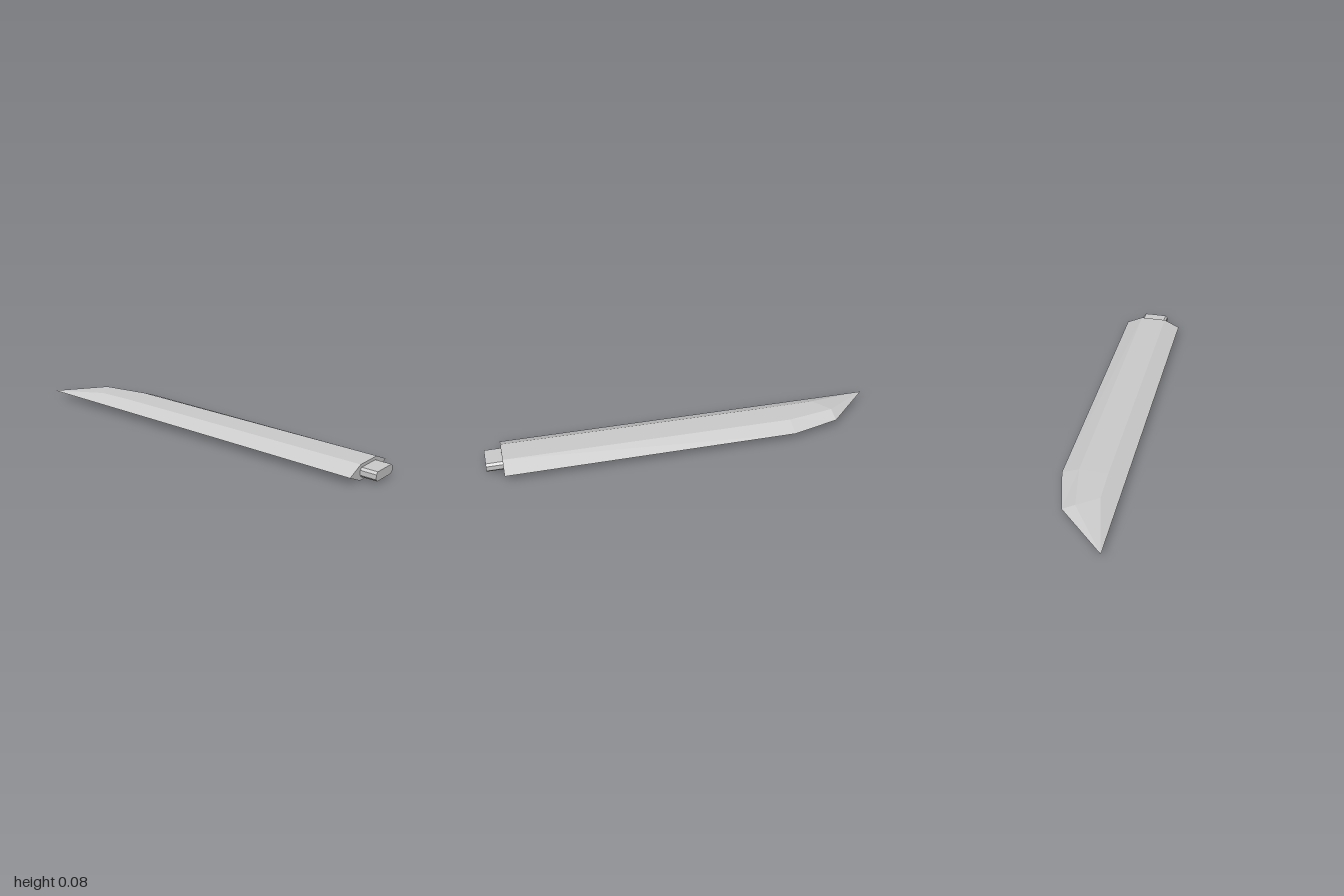
import * as THREE from 'three';

const MID = 0.038; // height of the cutting edges

// Hexagonal cross-section, counter-clockwise seen from the front.
// Each column is [x, z]: right edge, right ridge, left ridge, left edge.
function section([edgeR, ridgeR, ridgeL, edgeL], h) {
  const at = ([x, z], y) => [x, MID + y, z];
  return [at(edgeR, 0), at(ridgeR, h), at(ridgeL, h), at(edgeL, 0), at(ridgeL, -h), at(ridgeR, -h)];
}

function bladeGeometry() {
  const rings = [
    section([[0.15, 0.92], [0.067, 0.92], [-0.067, 0.92], [-0.15, 0.92]], 0.038),
    section([[0.15, -0.52], [0.067, -0.52], [-0.07, -0.52], [-0.15, -0.52]], 0.033),
    section([[0.083, -0.765], [0.022, -0.76], [-0.075, -0.69], [-0.15, -0.7]], 0.031),
  ];
  const tip = [-0.15, MID, -1];
  const pos = [];
  const tri = (...pts) => pts.forEach((p) => pos.push(...p));

  // base cap
  for (let i = 1; i < 5; i++) tri(rings[0][0], rings[0][i], rings[0][i + 1]);
  // long faces
  for (let r = 0; r < rings.length - 1; r++) {
    for (let i = 0; i < 6; i++) {
      const j = (i + 1) % 6;
      const a = rings[r][i], b = rings[r][j], c = rings[r + 1][j], d = rings[r + 1][i];
      tri(a, d, b);
      tri(b, d, c);
    }
  }
  // facets closing on the slanted point
  const last = rings[rings.length - 1];
  for (let i = 0; i < 6; i++) tri(last[i], tip, last[(i + 1) % 6]);

  const g = new THREE.BufferGeometry();
  g.setAttribute('position', new THREE.Float32BufferAttribute(pos, 3));
  g.computeVertexNormals();
  return g;
}

// Chamfered bar sticking out of the base
function tangGeometry() {
  const w = 0.069, h = 0.0225, c = 0.011;
  const shape = new THREE.Shape([
    [w, -h + c], [w, h - c], [w - c, h], [-w + c, h],
    [-w, h - c], [-w, -h + c], [-w + c, -h], [w - c, -h],
  ].map(([x, y]) => new THREE.Vector2(x, y)));
  return new THREE.ExtrudeGeometry(shape, { depth: 0.09, bevelEnabled: false });
}

export function createModel() {
  const steel = new THREE.MeshStandardMaterial({ color: 0xcccccc });
  steel.name = 'steel';

  const group = new THREE.Group();
  group.name = 'bladeModel';

  const blade = new THREE.Mesh(bladeGeometry(), steel);
  blade.name = 'blade';

  const tang = new THREE.Mesh(tangGeometry(), steel);
  tang.name = 'tang';
  tang.position.set(0, MID, 0.91);

  group.add(blade, tang);
  return group;
}
